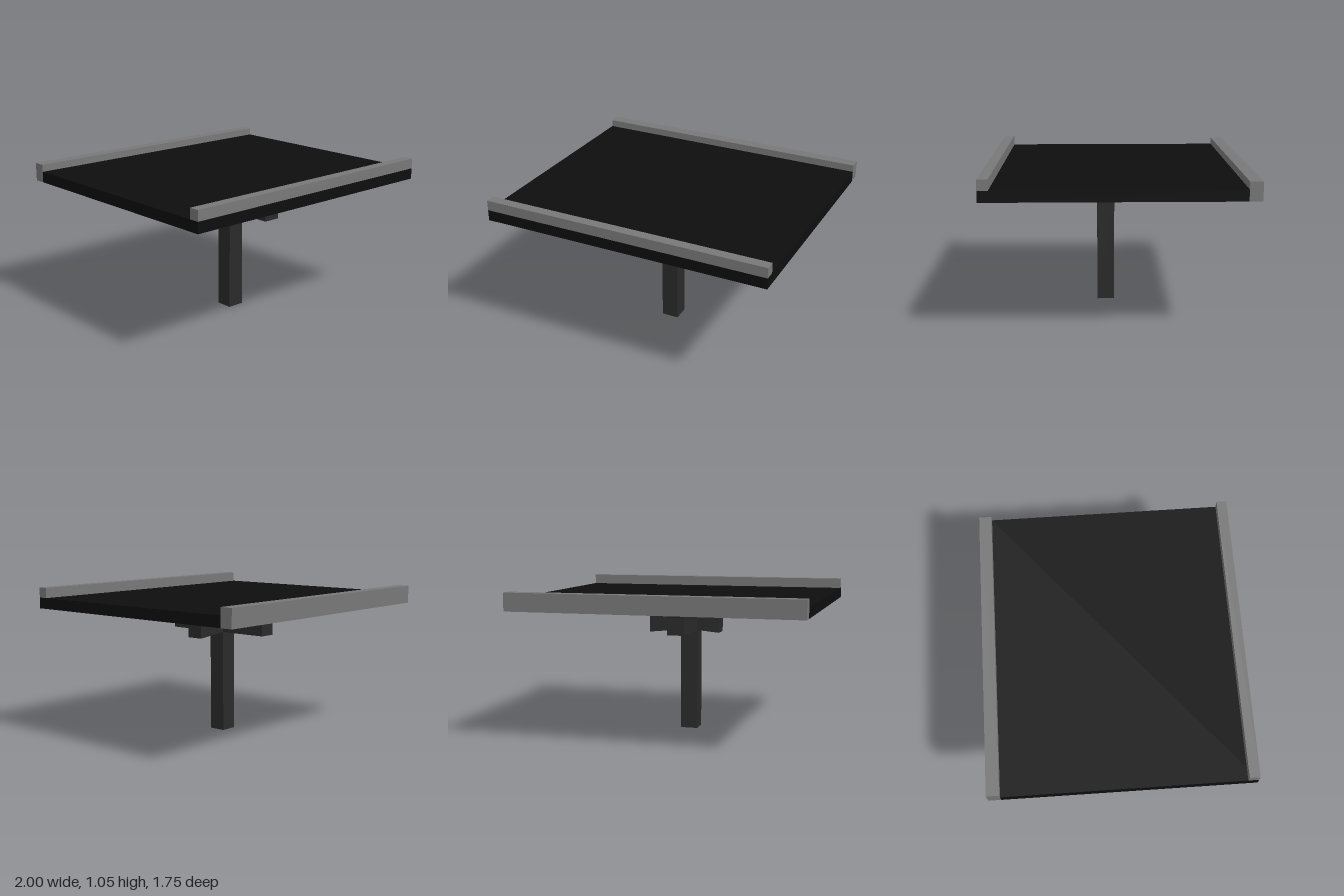
import * as THREE from 'three';

const material = (color) => new THREE.MeshStandardMaterial({ color, flatShading: true });

// Box given by its limits on each axis
function block(name, [x0, x1], [y0, y1], [z0, z1], mat) {
  const mesh = new THREE.Mesh(new THREE.BoxGeometry(x1 - x0, y1 - y0, z1 - z0), mat);
  mesh.position.set((x0 + x1) / 2, (y0 + y1) / 2, (z0 + z1) / 2);
  mesh.name = name;
  return mesh;
}

// Solid through stacked four-cornered rings: { x: [x0, x1], z: [z0, z1], y: [y at x0, y at x1] }
function loft(name, rings, mat) {
  const positions = [];
  const index = [];
  for (const { x, y, z } of rings) {
    positions.push(x[0], y[0], z[1], x[1], y[1], z[1], x[1], y[1], z[0], x[0], y[0], z[0]);
  }
  for (let r = 0; r < rings.length - 1; r++) {
    for (let i = 0; i < 4; i++) {
      const a = r * 4 + i;
      const b = r * 4 + (i + 1) % 4;
      index.push(a, b, b + 4, a, b + 4, a + 4);
    }
  }
  const t = (rings.length - 1) * 4;
  index.push(0, 2, 1, 0, 3, 2, t, t + 1, t + 2, t, t + 2, t + 3);
  const indexed = new THREE.BufferGeometry();
  indexed.setAttribute('position', new THREE.Float32BufferAttribute(positions, 3));
  indexed.setIndex(index);
  const geometry = indexed.toNonIndexed();
  geometry.computeVertexNormals();
  const mesh = new THREE.Mesh(geometry, mat);
  mesh.name = name;
  return mesh;
}

export function createModel() {
  const group = new THREE.Group();
  group.name = 'platform';
  const deckMat = material(0x0e0e0e);
  const railMat = material(0x787878);
  const postMat = material(0x2a2a2a);

  // Deck with a curb on top at the front and a deeper one against the back edge
  group.add(
    block('deck', [-1, 1], [0.91, 0.985], [-0.79, 0.875], deckMat),
    block('frontRail', [-1, 1], [0.985, 1.055], [0.805, 0.875], railMat),
    block('backRail', [-1, 1], [0.91, 1.035], [-0.875, -0.79], railMat),
  );

  // Off-centre square post
  const postX = [-0.077, 0.043];
  const postZ = [0.02, 0.14];
  group.add(block('post', postX, [0, 0.72], postZ, postMat));

  // Long support beam, flared where it meets the deck
  group.add(loft('longBeam', [
    { x: postX, z: [-0.335, 0.495], y: [0.72, 0.72] },
    { x: postX, z: [-0.335, 0.495], y: [0.845, 0.845] },
    { x: [-0.097, 0.063], z: [-0.44, 0.60], y: [0.912, 0.912] },
  ], postMat));

  // Short side arms, drooping slightly towards their ends
  const inner = -0.017;
  group.add(loft('leftArm', [
    { x: [inner, 0.28], z: postZ, y: [0.726, 0.697] },
    { x: [inner, 0.28], z: postZ, y: [0.851, 0.82] },
    { x: [inner, 0.293], z: [0, 0.157], y: [0.93, 0.893] },
  ], postMat));
  group.add(loft('rightArm', [
    { x: [-0.237, inner], z: postZ, y: [0.705, 0.726] },
    { x: [-0.237, inner], z: postZ, y: [0.825, 0.851] },
    { x: [-0.255, inner], z: [0, 0.157], y: [0.90, 0.93] },
  ], postMat));

  return group;
}
